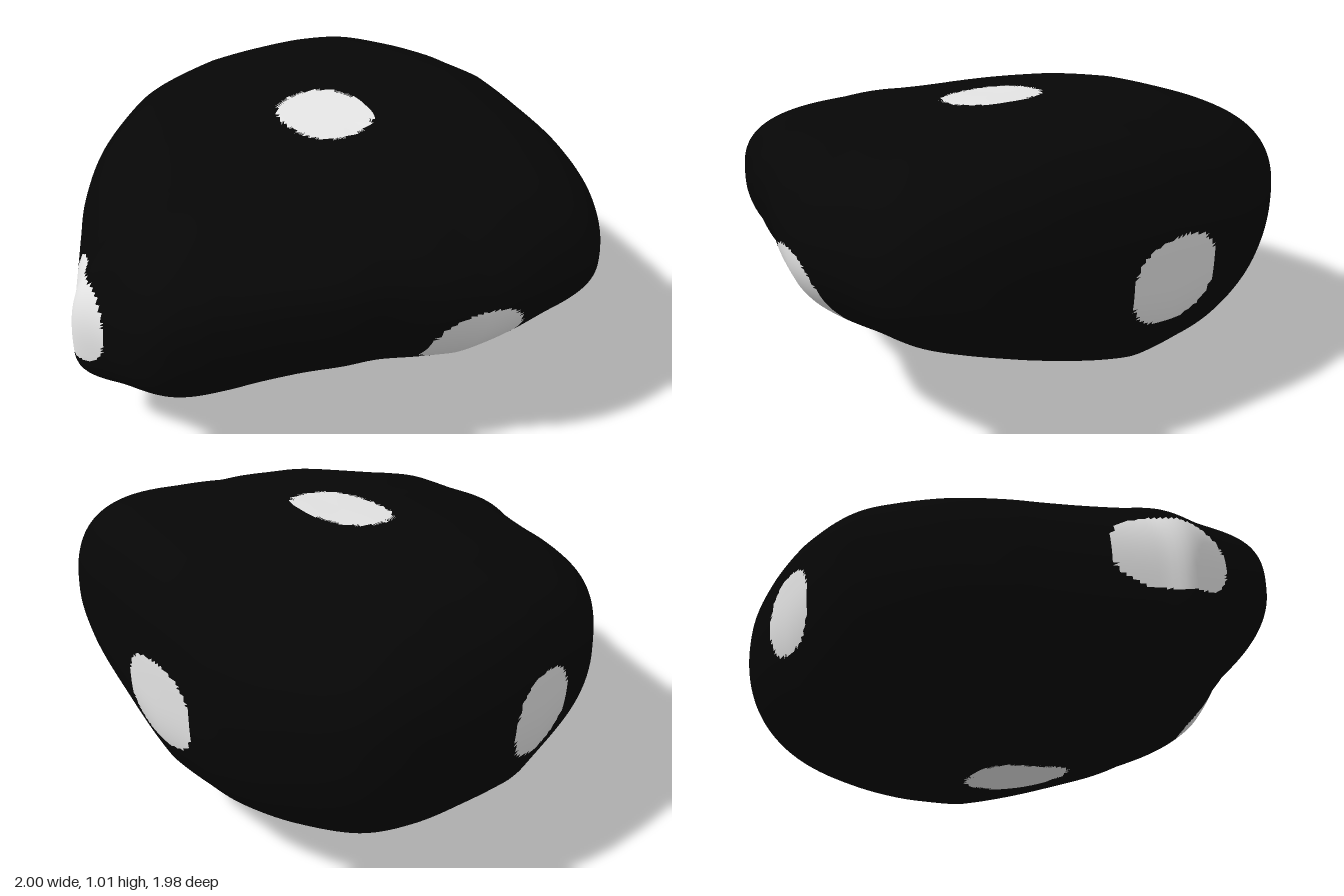
import * as THREE from 'three';
import { mergeVertices } from 'three/addons/utils/BufferGeometryUtils.js';

const CX = 0.11, COLS = 300, ROWS = 140;

// Widest outline of the stone seen from above, as x, z pairs
const OUTLINE = [
  [0.98, 0], [0.995, -0.2], [1, -0.37], [0.95, -0.62], [0.82, -0.86], [0.63, -0.96],
  [0.36, -0.99], [0.05, -0.97], [-0.22, -0.92], [-0.35, -0.85], [-0.55, -0.7], [-0.7, -0.52],
  [-0.77, -0.4], [-0.88, -0.2], [-0.95, -0.07], [-1, 0.02], [-0.955, 0.2], [-0.89, 0.42],
  [-0.77, 0.51], [-0.67, 0.56], [-0.5, 0.66], [-0.33, 0.77], [-0.18, 0.83], [0, 0.92],
  [0.22, 0.98], [0.42, 0.98], [0.62, 0.95], [0.75, 0.82], [0.86, 0.58], [0.93, 0.28],
];

// Blend four values by horizontal direction: left, right, front, back
const blend = (dx, dz, left, right, front, back) =>
  dx * dx * (dx > 0 ? left : right) + dz * dz * (dz > 0 ? front : back);

// Heights of the gently tilted upper and lower faces
const topHeight = (x, z) => 0.985 + 0.09 * x + 0.04 * z + 0.04 * z * z;
const bottomHeight = (x, z) => 0.055 + 0.17 * z;

// Height of the widest outline, raised at the front right corner
const edgeHeight = (dx, dz) =>
  blend(dx, dz, 0.55, 0.37, 0.67, 0.6) + (dx < 0 && dz > 0 ? 0.35 * -dx * dz : 0);

// Roundness of the shoulders, softer at some corners
function roundness(dx, dz, upper) {
  const corner = Math.abs(dx * dz);
  if (upper) return blend(dx, dz, 3.6, 2.9, 2.1, 3.3) - (dx > 0 && dz < 0 ? 1.6 * corner : 0);
  return blend(dx, dz, 3, 2.4, 2.15, 2.4) - (dx < 0 && dz > 0 ? 0 : 1.1 * corner);
}

// Round spots lie where the surface meets the three axes through the middle
function inSpot(x, y, z) {
  const a = Math.abs((x - CX) / 0.155) ** 2.4;
  const b = Math.abs((y - 0.52) / 0.155) ** 2.4;
  const c = Math.abs((z + 0.013) / 0.2) ** 2.4;
  return a + b < 1 || b + c < 1 || a + c < 1;
}

function stoneGeometry() {
  const curve = new THREE.CatmullRomCurve3(
    OUTLINE.map(([x, z]) => new THREE.Vector3(x, 0, z)), true, 'centripetal');
  const ring = curve.getSpacedPoints(COLS);
  const positions = [];

  // Rings from the underside to the top, each profile a rounded superellipse
  for (let j = 0; j <= ROWS; j++) {
    const phi = (j / ROWS - 0.5) * Math.PI;
    const c = j === 0 || j === ROWS ? 0 : Math.cos(phi), s = Math.abs(Math.sin(phi));
    for (let i = 0; i < COLS; i++) {
      const ox = ring[i].x - CX, oz = ring[i].z, len = Math.hypot(ox, oz);
      const dx = ox / len, dz = oz / len;
      const n = roundness(dx, dz, phi > 0);
      const k = (c ** n + s ** n) ** (-1 / n);
      const x = CX + ox * c * k, z = oz * c * k;
      const edge = edgeHeight(dx, dz);
      const limit = phi > 0 ? topHeight(x, z) : bottomHeight(x, z);
      positions.push(x, edge + (limit - edge) * s * k, z);
    }
  }

  // Sort the faces into body and spots
  const faces = [[], []];
  const addFace = (...corners) => {
    const mid = [0, 1, 2].map((axis) =>
      corners.reduce((sum, v) => sum + positions[v * 3 + axis], 0) / 3);
    faces[inSpot(...mid) ? 1 : 0].push(...corners);
  };
  for (let j = 0; j < ROWS; j++) {
    for (let i = 0; i < COLS; i++) {
      const next = (i + 1) % COLS;
      const a = j * COLS + i, b = j * COLS + next, d = a + COLS, e = b + COLS;
      if (j > 0) addFace(a, b, e);
      if (j < ROWS - 1) addFace(a, e, d);
    }
  }

  let geometry = new THREE.BufferGeometry();
  geometry.setAttribute('position', new THREE.Float32BufferAttribute(positions, 3));
  geometry.setIndex([...faces[0], ...faces[1]]);
  geometry = mergeVertices(geometry);
  geometry.addGroup(0, faces[0].length, 0);
  geometry.addGroup(faces[0].length, faces[1].length, 1);
  geometry.computeVertexNormals();
  geometry.computeBoundingBox();
  geometry.translate(0, -geometry.boundingBox.min.y, 0);
  return geometry;
}

export function createModel() {
  const black = new THREE.MeshStandardMaterial({ color: 0x060606 });
  black.name = 'black';
  const paleGrey = new THREE.MeshStandardMaterial({ color: 0xe4e4e4 });
  paleGrey.name = 'paleGrey';

  const stone = new THREE.Mesh(stoneGeometry(), [black, paleGrey]);
  stone.name = 'spottedStone';
  const group = new THREE.Group();
  group.name = 'stoneModel';
  group.add(stone);
  return group;
}
